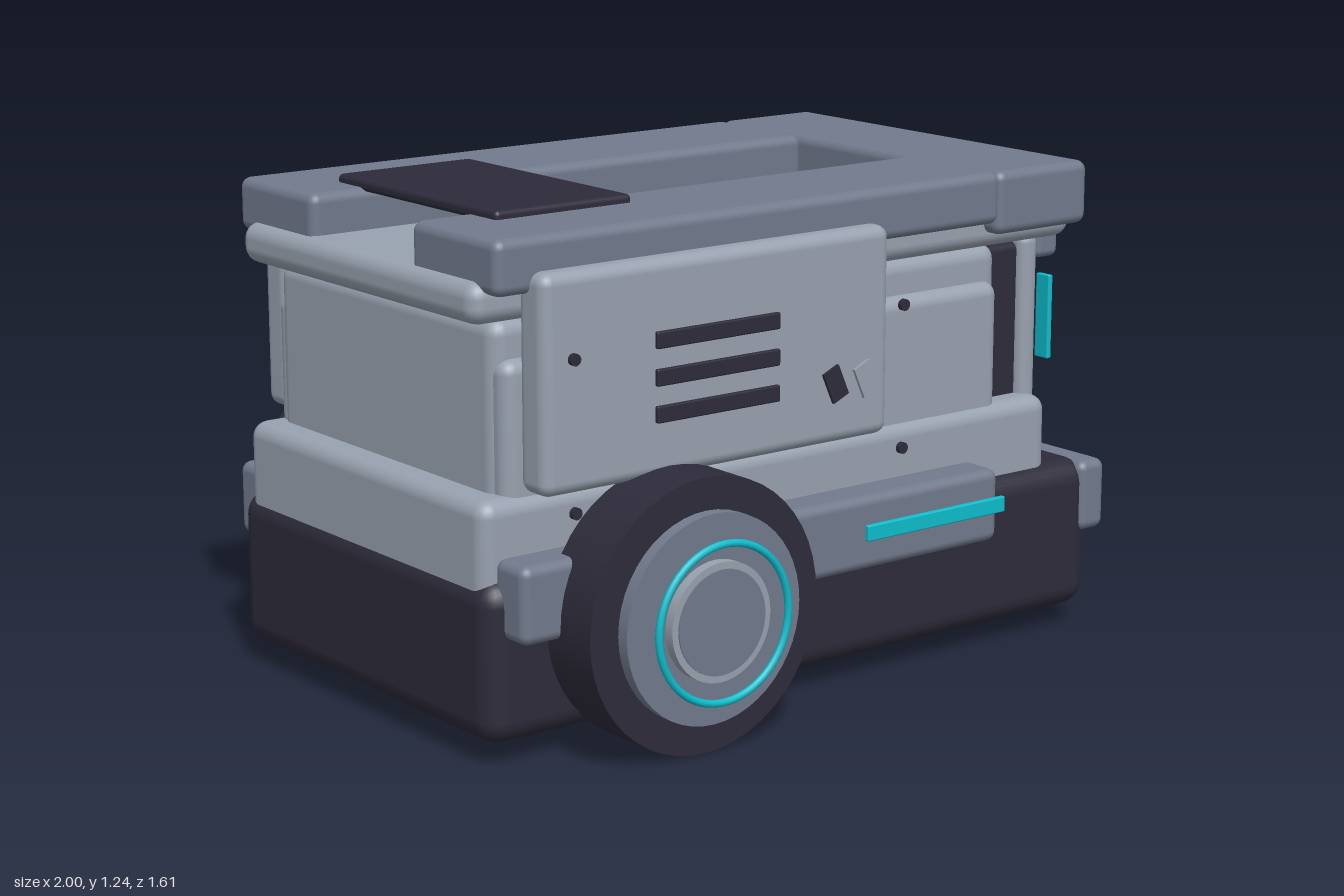
import * as THREE from 'three';
import { RoundedBoxGeometry } from 'three/addons/geometries/RoundedBoxGeometry.js';

const material = (name, color) => {
  const m = new THREE.MeshStandardMaterial({ color });
  m.name = name;
  return m;
};

export function createModel() {
  const root = new THREE.Group();
  root.name = 'rover';
  const light = material('light grey', 0x98a1af);
  const mid = material('slate grey', 0x717a8c);
  const dark = material('charcoal', 0x2d2b3a);
  const cyan = material('cyan', 0x0dbccb);

  const add = (name, geometry, mat, parent = root) => {
    const mesh = new THREE.Mesh(geometry, mat);
    mesh.name = name;
    parent.add(mesh);
    return mesh;
  };

  // Box given by its limits on each axis; r rounds the edges
  const box = (name, mat, [x0, x1], [y0, y1], [z0, z1], r = 0) => {
    const w = x1 - x0, h = y1 - y0, d = z1 - z0;
    const geo = r ? new RoundedBoxGeometry(w, h, d, 3, r) : new THREE.BoxGeometry(w, h, d);
    const mesh = add(name, geo, mat);
    mesh.position.set((x0 + x1) / 2, (y0 + y1) / 2, (z0 + z1) / 2);
    return mesh;
  };
  // The same box on both sides of the body
  const pair = (name, mat, x, y, [z0, z1], r) => {
    box(name + 'Left', mat, x, y, [z0, z1], r);
    box(name + 'Right', mat, x, y, [-z1, -z0], r);
  };
  // Disc along local z between two depths
  const disc = (name, mat, parent, radius, z0, z1) => {
    const geo = new THREE.CylinderGeometry(radius, radius, z1 - z0, 48).rotateX(Math.PI / 2);
    const mesh = add(name, geo, mat, parent);
    mesh.position.z = (z0 + z1) / 2;
    return mesh;
  };
  const ring = (name, mat, parent, radius, tube, z) => {
    const mesh = add(name, new THREE.TorusGeometry(radius, tube, 10, 56), mat, parent);
    mesh.position.z = z;
    return mesh;
  };

  // Chassis and hull
  box('chassis', dark, [-1, 0.89], [0.05, 0.44], [-0.545, 0.545], 0.06);
  box('lowerHull', light, [-0.99, 0.76], [0.3, 0.62], [-0.51, 0.51], 0.04);
  box('upperHull', light, [-0.92, 0.62], [0.55, 1.02], [-0.46, 0.46], 0.04);
  box('hullSides', light, [-0.91, 0.6], [0.55, 0.93], [-0.49, 0.49], 0.035);
  box('hullSeam', dark, [0.58, 0.72], [0.56, 1.01], [-0.44, 0.44], 0.02);

  // Lid, rails and roof panel
  box('lid', light, [-1, 0.84], [1.02, 1.12], [-0.5, 0.5], 0.04);
  pair('roofRail', mid, [-0.97, 0.54], [1.09, 1.22], [0.21, 0.55], 0.025);
  box('roofFrontBar', mid, [0.53, 0.84], [1.06, 1.22], [-0.55, 0.55], 0.025);
  box('roofPanel', dark, [-0.82, -0.435], [1.21, 1.24], [-0.335, 0.335], 0.012);

  // Side skirts and light strips
  pair('sideSkirt', mid, [-0.955, 0.49], [0.305, 0.49], [0.5, 0.618], 0.025);
  pair('sideLight', cyan, [0.05, 0.5], [0.38, 0.42], [0.615, 0.63], 0.004);

  // Side covers with vents and bolts
  pair('sideCover', light, [-0.88, 0.14], [0.63, 1.14], [0.495, 0.597], 0.03);
  for (const y of [0.955, 0.868, 0.782]) {
    pair('vent', dark, [-0.57, -0.21], [y - 0.02, y + 0.02], [0.596, 0.609], 0.004);
  }
  for (const side of [1, -1]) {
    for (const x of [-0.8, 0.175]) {
      for (const y of [0.943, 0.59]) {
        const bolt = disc('bolt', dark, root, 0.014, -0.006, 0.006);
        bolt.position.set(x, y, side * 0.605);
      }
    }
  }

  // Two tilted tags on the left cover
  [[-0.048, dark], [0.047, light]].forEach(([x, mat]) => {
    const tag = box('tag', mat, [x - 0.025, x + 0.025], [0.742, 0.822], [0.612, 0.62]);
    tag.rotation.z = 0.42;
  });

  // Bumper
  box('bumper', mid, [0.84, 0.93], [0.25, 0.435], [-0.553, 0.553], 0.025);
  box('bumperLight', cyan, [0.925, 0.943], [0.355, 0.387], [-0.4, 0.4], 0.005);

  // Face
  box('faceFrame', light, [0.7, 0.76], [0.5, 1.035], [-0.465, 0.465], 0.028);
  box('facePlate', mid, [0.758, 0.766], [0.53, 0.98], [-0.43, 0.43]);
  box('facePanel', dark, [0.762, 0.79], [0.61, 0.97], [-0.375, 0.375], 0.012);
  box('brow', mid, [0.8, 0.88], [0.95, 1.05], [-0.41, 0.41], 0.02);
  box('browLight', cyan, [0.877, 0.895], [1.007, 1.04], [-0.243, 0.243], 0.005);
  box('chin', light, [0.808, 0.883], [0.57, 0.618], [-0.19, 0.19], 0.006);
  pair('cheekLight', cyan, [0.88, 0.895], [0.672, 0.893], [0.328, 0.376], 0.004);

  // Camera, built along z and turned to look forward
  const camera = new THREE.Group();
  camera.name = 'cameraEye';
  camera.position.y = 0.8;
  camera.rotation.y = Math.PI / 2;
  root.add(camera);
  disc('cameraBarrel', dark, camera, 0.145, 0.785, 0.925);
  disc('cameraCollar', light, camera, 0.125, 0.92, 0.965);
  disc('cameraLens', dark, camera, 0.1, 0.96, 0.978);
  ring('cameraLight', cyan, camera, 0.103, 0.008, 0.982);
  disc('cameraPupil', dark, camera, 0.042, 0.975, 0.99);
  const glint = add('glint', new THREE.SphereGeometry(0.017, 16, 12), cyan, camera);
  glint.position.set(-0.02, 0.018, 0.983);

  // Wheels
  for (const side of [1, -1]) {
    const wheel = new THREE.Group();
    wheel.name = side > 0 ? 'leftWheel' : 'rightWheel';
    wheel.position.set(-0.527, 0.328, 0);
    if (side < 0) wheel.rotation.y = Math.PI;
    root.add(wheel);
    disc('tyre', dark, wheel, 0.328, 0.565, 0.73);
    disc('hub', mid, wheel, 0.25, 0.72, 0.762);
    disc('hubCap', light, wheel, 0.142, 0.76, 0.788);
    disc('hubCentre', mid, wheel, 0.125, 0.785, 0.791);
    ring('wheelLight', cyan, wheel, 0.187, 0.009, 0.798);
  }
  return root;
}
